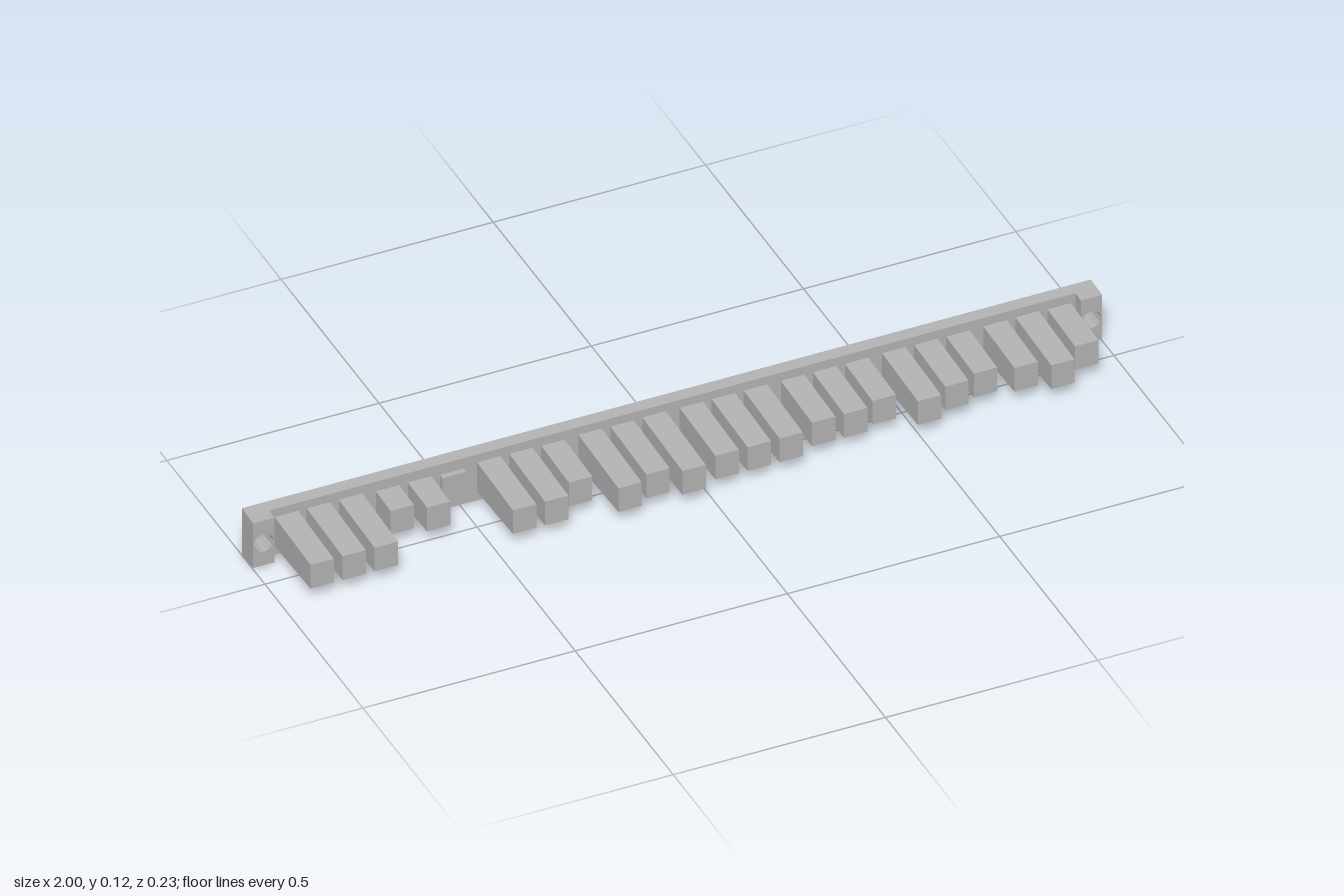
import * as THREE from 'three';

const MID = 0.063, BACK = -0.117, PLATE_FRONT = -0.087, END_FRONT = -0.06;
const HOLE_X = 0.975, HOLE_R = 0.023, HALF_H = 0.062;

// Plate section with screw holes; top and bottom draw in towards the front
function drilledSlab(x0, x1, z0, z1, holes) {
  const s = new THREE.Shape();
  s.moveTo(x0, -HALF_H);
  s.lineTo(x1, -HALF_H);
  s.lineTo(x1, HALF_H);
  s.lineTo(x0, HALF_H);
  s.closePath();
  for (const x of holes) s.holes.push(new THREE.Path().absarc(x, 0, HOLE_R, 0, Math.PI * 2, true));
  const g = new THREE.ExtrudeGeometry(s, { depth: z1 - z0, bevelEnabled: false, curveSegments: 6 });
  g.translate(0, 0, z0);
  const p = g.attributes.position;
  for (let i = 0; i < p.count; i++) {
    const y = p.getY(i);
    if (Math.abs(y) > 0.05) p.setY(i, y - Math.sign(y) * 0.06 * (p.getZ(i) - BACK));
  }
  g.translate(0, MID, 0);
  g.computeVertexNormals();
  return g;
}

// Bar with a fixed tip height, thickening towards its root by a draft angle
function toothGeometry(tip) {
  const length = tip - PLATE_FRONT;
  const g = new THREE.BoxGeometry(0.055, 0.062, length);
  const p = g.attributes.position;
  for (let i = 0; i < p.count; i++) {
    if (p.getZ(i) < 0) p.setY(i, p.getY(i) + Math.sign(p.getY(i)) * 0.04 * length);
  }
  g.translate(0, 0.064, (tip + PLATE_FRONT) / 2);
  g.computeVertexNormals();
  return g;
}

export function createModel() {
  const model = new THREE.Group();
  const grey = new THREE.MeshStandardMaterial({ color: 0xb2b2b2 });
  grey.name = 'grey';
  const add = (name, geometry, x = 0) => {
    const m = new THREE.Mesh(geometry, grey);
    m.name = name;
    m.position.x = x;
    model.add(m);
  };

  // Long back plate and the raised blocks at its ends
  add('backPlate', drilledSlab(-1, 1, BACK, PLATE_FRONT, [-HOLE_X, HOLE_X]));
  add('rightEndBlock', drilledSlab(-1, -0.95, PLATE_FRONT, END_FRONT, [-HOLE_X]));
  add('leftEndBlock', drilledSlab(0.95, 1, PLATE_FRONT, END_FRONT, [HOLE_X]));

  // Eight groups of three teeth, given by the z of each tip
  const A = 0.096, B = 0.072, C = 0.054, D = 0.117;
  const groups = [
    [A, A, A], [-0.012, 0.01, -0.075], [A, A, C], [D, A, D],
    [A, A, A], [B, B, C], [A, B, C], [B, A, C],
  ];
  groups.forEach((tips, i) => tips.forEach((tip, j) => {
    add('tooth', toothGeometry(tip), (i - 3.5) * 0.2385 + (j - 1) * 0.0755 + 0.001);
  }));
  return model;
}
